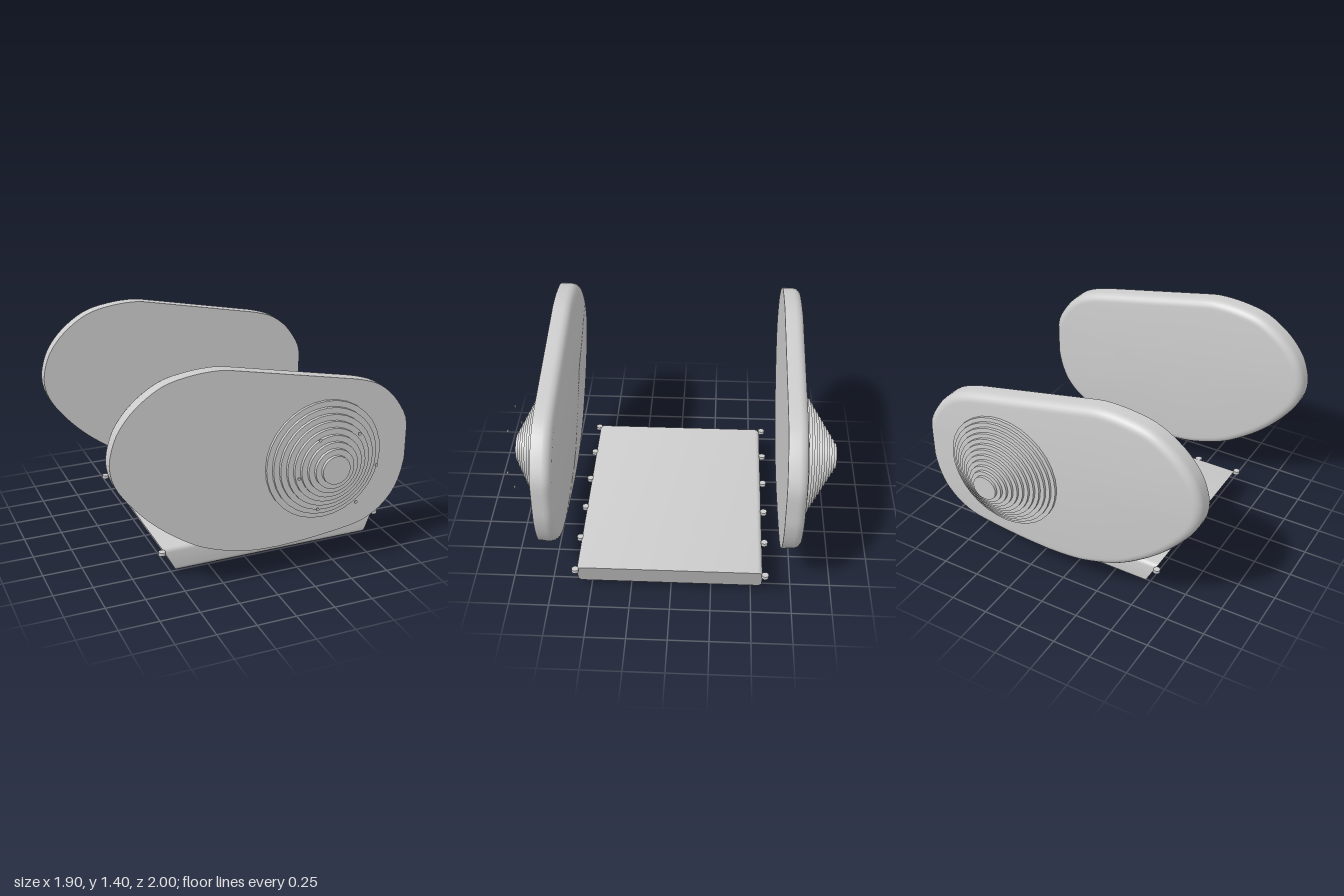
import * as THREE from 'three';
import { toCreasedNormals } from 'three/addons/utils/BufferGeometryUtils.js';

const metal = new THREE.MeshStandardMaterial({ color: 0xcccccc });
metal.name = 'castGrey';

function add(parent, name, geometry, x = 0, y = 0, z = 0) {
  const mesh = new THREE.Mesh(geometry, metal);
  mesh.name = name;
  mesh.position.set(x, y, z);
  parent.add(mesh);
  return mesh;
}

// Solid from equal rings of points, with a fan cap at each end
function loft(rings, crease) {
  const n = rings[0].length, pos = [], index = [];
  rings.forEach(ring => ring.forEach(p => pos.push(p.x, p.y, p.z)));
  for (let r = 0; r < rings.length - 1; r++) {
    for (let i = 0; i < n; i++) {
      const j = (i + 1) % n, a = r * n + i, b = r * n + j;
      index.push(a, b, b + n, a, b + n, a + n);
    }
  }
  [0, rings.length - 1].forEach((r, end) => {
    const c = new THREE.Vector3();
    rings[r].forEach(p => c.addScaledVector(p, 1 / n));
    const k = pos.length / 3;
    pos.push(c.x, c.y, c.z);
    for (let i = 0; i < n; i++) {
      const a = r * n + i, b = r * n + (i + 1) % n;
      index.push(k, ...(end ? [a, b] : [b, a]));
    }
  });
  const g = new THREE.BufferGeometry();
  g.setAttribute('position', new THREE.Float32BufferAttribute(pos, 3));
  g.setIndex(index);
  return toCreasedNormals(g, crease);
}

// Egg-shaped cover outline, counter-clockwise seen from the front
function coverOutline() {
  const s = new THREE.Shape();
  s.moveTo(0.08, 0.21);
  s.splineThru([[0.31, 0.222], [0.59, 0.257], [0.70, 0.29], [0.80, 0.355], [0.88, 0.45],
    [0.925, 0.56], [0.945, 0.66]].map(p => new THREE.Vector2(...p)));
  s.lineTo(0.945, 0.875);
  s.splineThru([[0.935, 0.93], [0.90, 1.0], [0.825, 1.10], [0.72, 1.18], [0.59, 1.225]]
    .map(p => new THREE.Vector2(...p)));
  s.lineTo(-0.20, 1.385);
  s.splineThru([[-0.30, 1.40], [-0.46, 1.393], [-0.63, 1.355], [-0.78, 1.26], [-0.88, 1.15],
    [-0.93, 1.05], [-0.955, 0.92], [-0.925, 0.79], [-0.835, 0.655], [-0.71, 0.52], [-0.56, 0.40],
    [-0.40, 0.305], [-0.20, 0.238], [-0.06, 0.216], [0.08, 0.21]].map(p => new THREE.Vector2(...p)));
  const pts = s.getSpacedPoints(110);
  pts.pop();
  return pts;
}

// Plate with a flat +z face and a rounded edge on the -z side
function coverGeometry() {
  const pts = coverOutline(), n = pts.length, depth = 0.12, radius = 0.055;
  const ring = (inset, z) => pts.map((p, i) => {
    const t = pts[(i + 1) % n].clone().sub(pts[(i + n - 1) % n]).normalize();
    return new THREE.Vector3(p.x - t.y * inset, p.y + t.x * inset, z);
  });
  const rings = [];
  for (let k = 6; k >= 0; k--) {
    const a = k / 6 * Math.PI / 2;
    rings.push(ring(radius * (1 - Math.cos(a)), radius * (1 - Math.sin(a))));
  }
  rings.push(ring(0, depth));
  return loft(rings, 0.7);
}

// Stack of shrinking discs, growing along +z
function steppedBoss(name, steps, rBase, rTip, height) {
  const profile = [new THREE.Vector2(0, 0)];
  for (let i = 0; i < steps; i++) {
    const r = rBase + (rTip - rBase) * i / (steps - 1);
    profile.push(new THREE.Vector2(r, height * i / steps), new THREE.Vector2(r, height * (i + 1) / steps));
  }
  profile.push(new THREE.Vector2(0, height));
  const g = new THREE.LatheGeometry(profile, 32);
  g.rotateX(Math.PI / 2);
  const mesh = new THREE.Mesh(toCreasedNormals(g, 0.6), metal);
  mesh.name = name;
  return mesh;
}

// Long rounded tray whose ends slope inwards towards the bottom
function panGeometry() {
  const y0 = 0.045, y1 = 0.213, z0 = -0.567, z1 = 0.58, r = 0.03;
  const section = [];
  [[z1 - r, y1 - r], [z0 + r, y1 - r], [z0 + r, y0 + r], [z1 - r, y0 + r]].forEach(([z, y], q) => {
    for (let k = 0; k <= 5; k++) {
      const a = (q + k / 5) * Math.PI / 2;
      section.push([z + r * Math.cos(a), y + r * Math.sin(a)]);
    }
  });
  section.reverse();
  const end = (top, bottom) => section.map(([z, y]) =>
    new THREE.Vector3(bottom + (top - bottom) * (y - y0) / (y1 - y0), y, z));
  return loft([end(-0.58, -0.49), end(0.88, 0.815)], 0.6);
}

export function createModel() {
  const model = new THREE.Group();
  model.name = 'engineCovers';
  const cx = 0.373, cy = 0.745;

  // Side covers
  const cover = coverGeometry();
  add(model, 'frontCover', cover, 0, 0, 0.682);
  add(model, 'rearCover', cover, 0, 0, -0.792);

  // Stepped bosses on the outer faces
  const front = steppedBoss('frontBoss', 9, 0.38, 0.09, 0.178);
  front.position.set(cx, cy, 0.8);
  const rear = steppedBoss('rearBoss', 12, 0.38, 0.08, 0.208);
  rear.position.set(cx, cy, -0.792);
  rear.rotation.y = Math.PI;
  model.add(front, rear);

  // Ring of small cover screws
  const screw = new THREE.CylinderGeometry(0.01, 0.01, 0.008, 10).rotateX(Math.PI / 2);
  for (let i = 0; i < 6; i++) {
    const a = i * Math.PI / 3;
    add(model, 'coverScrew', screw, cx + 0.255 * Math.cos(a), cy + 0.255 * Math.sin(a), 0.996);
  }

  // Pan, its rim bolts and the drain plug
  add(model, 'pan', panGeometry());
  const bolt = toCreasedNormals(new THREE.CylinderGeometry(0.022, 0.022, 0.022, 16), 0.6);
  for (let i = 0; i < 6; i++) {
    for (const z of [-0.583, 0.588]) add(model, 'panBolt', bolt, -0.585 + i * 0.293, 0.193, z);
  }
  const plug = toCreasedNormals(
    new THREE.CylinderGeometry(0.053, 0.053, 0.05, 6, 1, false, Math.PI / 2), 0.5);
  add(model, 'drainPlug', plug, 0.149, 0.025, 0.007);

  return model;
}
